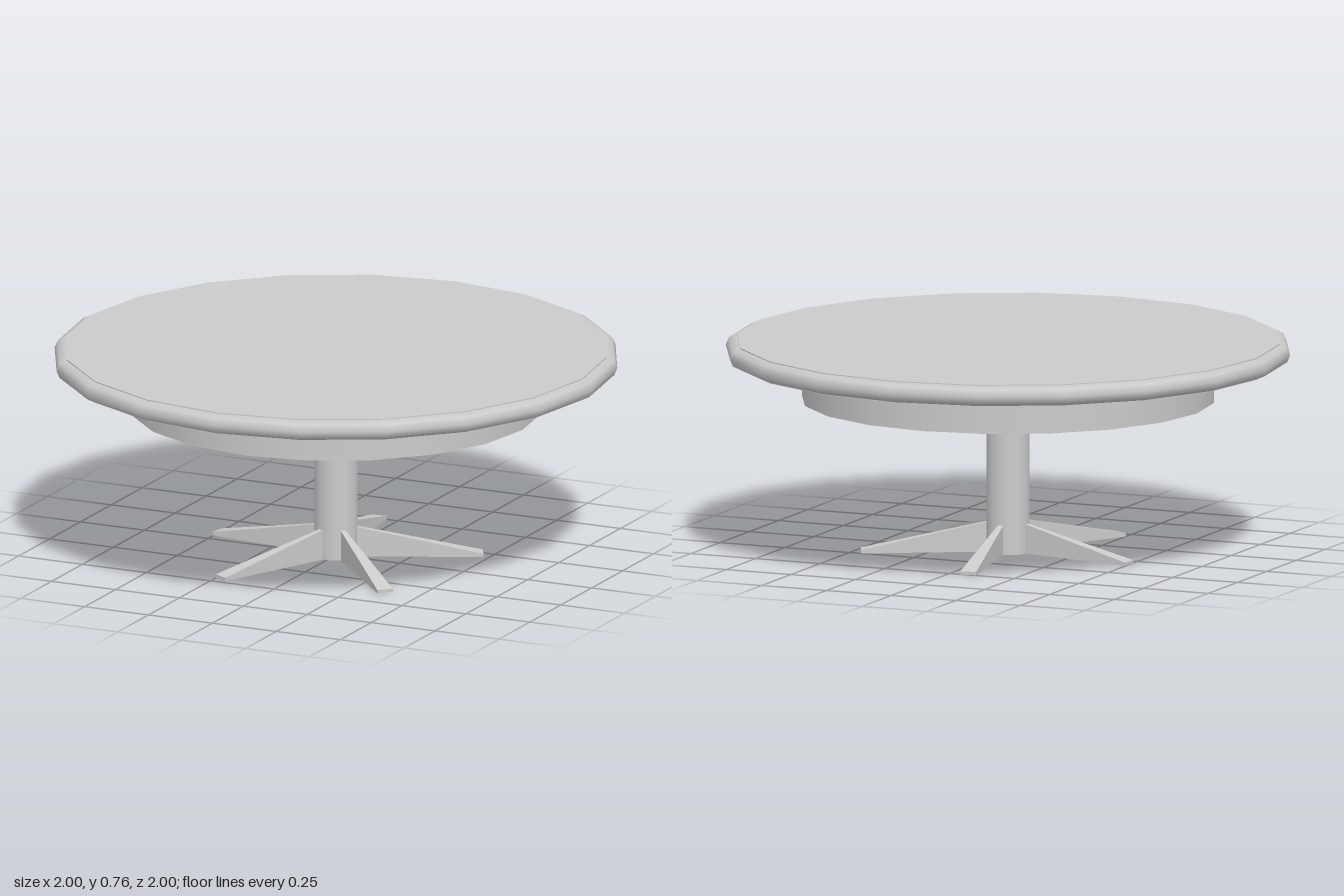
import * as THREE from 'three';

const SIDES = 20;

// Wedge-shaped foot running along +z: narrow and tall at the column, wide and thin at the tip
function footGeometry(inner, outer) {
  const geo = new THREE.BoxGeometry(1, 1, 1).toNonIndexed();
  const p = geo.attributes.position;
  for (let i = 0; i < p.count; i++) {
    const atTip = p.getZ(i) > 0;
    const halfWidth = atTip ? 0.029 : 0.008;
    const height = atTip ? 0.012 : 0.112;
    p.setXYZ(i, Math.sign(p.getX(i)) * halfWidth, p.getY(i) > 0 ? height : 0, atTip ? outer : inner);
  }
  geo.computeVertexNormals();
  return geo;
}

export function createModel() {
  const group = new THREE.Group();
  const material = new THREE.MeshStandardMaterial({ color: 0xcccccc });

  const add = (name, geometry, parent = group) => {
    const mesh = new THREE.Mesh(geometry, material);
    mesh.name = name;
    parent.add(mesh);
    return mesh;
  };
  const disc = (name, radius, y0, y1) => {
    const mesh = add(name, new THREE.CylinderGeometry(radius, radius, y1 - y0, SIDES));
    mesh.position.y = (y0 + y1) / 2;
    return mesh;
  };

  // Round top with a bulging edge
  disc('tableTop', 0.962, 0.682, 0.76);
  const rim = add('tableRim', new THREE.TorusGeometry(0.964, 0.036, 8, SIDES));
  rim.rotation.x = Math.PI / 2;
  rim.position.y = 0.721;

  // Apron under the top and central column
  disc('apron', 0.73, 0.545, 0.684);
  disc('column', 0.077, 0, 0.55);

  // Five splayed feet
  const feet = new THREE.Group();
  feet.name = 'feet';
  feet.position.set(0.008, 0, 0.008);
  group.add(feet);
  const foot = footGeometry(0.05, 0.515);
  for (let i = 0; i < 5; i++) {
    add('foot', foot, feet).rotation.y = Math.PI / 4 + (i * Math.PI * 2) / 5;
  }

  return group;
}
